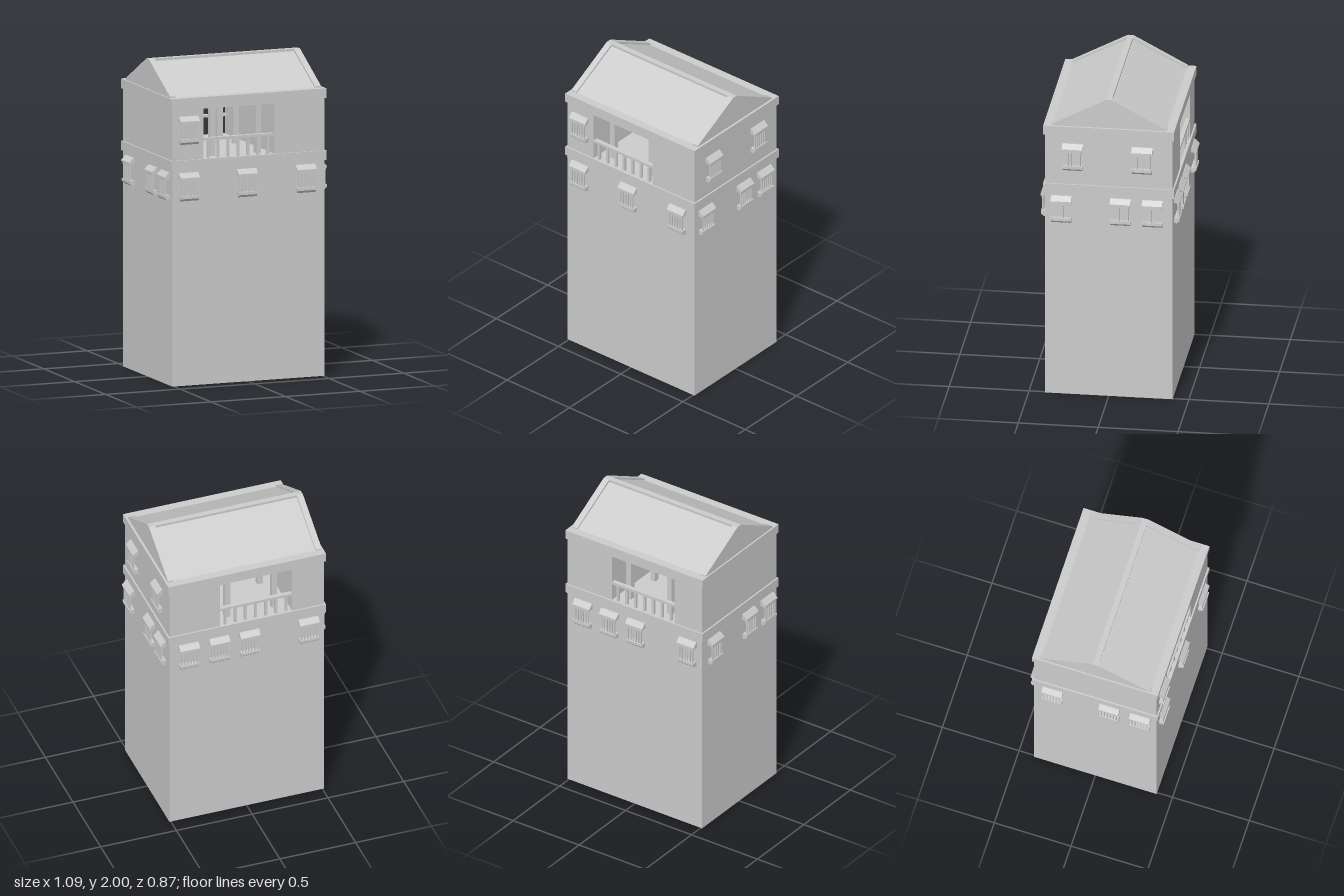
import * as THREE from 'three';

const mat = new THREE.MeshStandardMaterial({ color: 0xcccccc, flatShading: true, side: THREE.DoubleSide });

function add(parent, name, geometry) {
  const mesh = new THREE.Mesh(geometry, mat);
  mesh.name = name;
  parent.add(mesh);
  return mesh;
}

// Box given by its extents on each axis
function box(parent, name, x0, x1, y0, y1, z0, z1) {
  const mesh = add(parent, name, new THREE.BoxGeometry(x1 - x0, y1 - y0, z1 - z0));
  mesh.position.set((x0 + x1) / 2, (y0 + y1) / 2, (z0 + z1) / 2);
  return mesh;
}

// Profile of [z, y] points swept along x from x0 to x1
function sweep(parent, name, points, x0, x1) {
  const shape = new THREE.Shape(points.map(([z, y]) => new THREE.Vector2(z, y)));
  const g = new THREE.ExtrudeGeometry(shape, { depth: x1 - x0, bevelEnabled: false });
  g.rotateY(-Math.PI / 2);
  g.translate(x1, 0, 0);
  return add(parent, name, g);
}

// Barred window with sloped hood and sill; wall plane at z = 0, base at y = 0
function makeWindow() {
  const w = new THREE.Group();
  w.name = 'barredWindow';
  sweep(w, 'windowHood', [[0, 0.175], [0.008, 0.175], [0.036, 0.147], [0.036, 0.137], [0, 0.137]], -0.065, 0.065);
  box(w, 'windowTopRail', -0.057, 0.057, 0.122, 0.137, 0.018, 0.031);
  for (let i = 0; i < 6; i++) {
    const x = -0.049 + i * 0.0196;
    box(w, 'windowBar', x - 0.004, x + 0.004, 0.03, 0.124, 0.02, 0.029);
  }
  sweep(w, 'windowSill', [[0, 0], [0.018, 0], [0.034, 0.015], [0.034, 0.032], [0, 0.032]], -0.062, 0.062);
  return w;
}

export function createModel() {
  const model = new THREE.Group();
  model.name = 'watchtower';

  // Hollow lower tower, open at the bottom
  const shaft = new THREE.BoxGeometry(1.02, 1.37, 0.8);
  const idx = Array.from(shaft.index.array);
  shaft.setIndex([...idx.slice(0, 12), ...idx.slice(24)]);
  add(model, 'towerWalls', shaft).position.y = 0.685;

  // Projecting bands below and above the top storey
  box(model, 'lowerBand', -0.52, 0.52, 1.36, 1.42, -0.41, 0.41);
  box(model, 'upperBand', -0.52, 0.52, 1.75, 1.81, -0.41, 0.41);

  // Top storey with an open gallery passing from front to back
  box(model, 'rightRoom', -0.51, -0.3, 1.42, 1.75, -0.4, 0.4);
  box(model, 'leftRoom', 0.175, 0.51, 1.42, 1.75, -0.4, 0.4);
  box(model, 'galleryCeiling', -0.3, 0.175, 1.735, 1.75, -0.4, 0.4);
  for (const x of [-0.21, 0.098]) {
    for (const z of [-0.31, -0.05, 0.31]) {
      box(model, 'galleryColumn', x - 0.018, x + 0.018, 1.42, 1.735, z - 0.018, z + 0.018);
    }
  }

  // Railings on both gallery openings
  for (const z of [-0.385, 0.385]) {
    box(model, 'handrail', -0.3, 0.175, 1.533, 1.55, z - 0.014, z + 0.014);
    for (let i = 0; i < 7; i++) {
      const x = -0.265 + i * 0.067;
      box(model, 'baluster', x - 0.008, x + 0.008, 1.42, 1.535, z - 0.008, z + 0.008);
    }
  }

  // Gable roof: sunken slopes between raised end copings, with a flat ridge cap
  sweep(model, 'roofSlopes', [[-0.355, 1.81], [0.355, 1.81], [0.02, 1.985], [-0.02, 1.985]], -0.48, 0.475);
  const gable = [[-0.36, 1.81], [0.36, 1.81], [0.36, 1.818], [0.018, 2], [-0.018, 2], [-0.36, 1.818]];
  sweep(model, 'gableCoping', gable, -0.51, -0.47);
  sweep(model, 'gableCoping', gable, 0.464, 0.505);
  box(model, 'ridgeCap', -0.48, 0.475, 1.975, 2, -0.018, 0.018);

  // Windows on each wall: outward angle, wall distance, [offset, base height]
  const low = 1.165, high = 1.52;
  const walls = [
    { angle: 0, dist: 0.4, at: (s) => [s, 0.4], list: [[-0.405, low], [-0.015, low], [0.38, low], [-0.405, high]] },
    { angle: Math.PI, at: (s) => [s, -0.4], list: [[-0.405, low], [-0.015, low], [0.185, low], [0.385, low]] },
    { angle: Math.PI / 2, at: (s) => [0.51, s],
      list: [[0.295, low], [-0.075, low], [-0.275, low], [0.225, high], [-0.21, high]] },
    { angle: -Math.PI / 2, at: (s) => [-0.51, s], list: [[0.295, low], [0.095, low], [-0.275, low]] },
  ];
  for (const { angle, at, list } of walls) {
    for (const [s, y] of list) {
      const w = makeWindow();
      const [x, z] = at(s);
      w.position.set(x, y, z);
      w.rotation.y = angle;
      model.add(w);
    }
  }
  return model;
}
